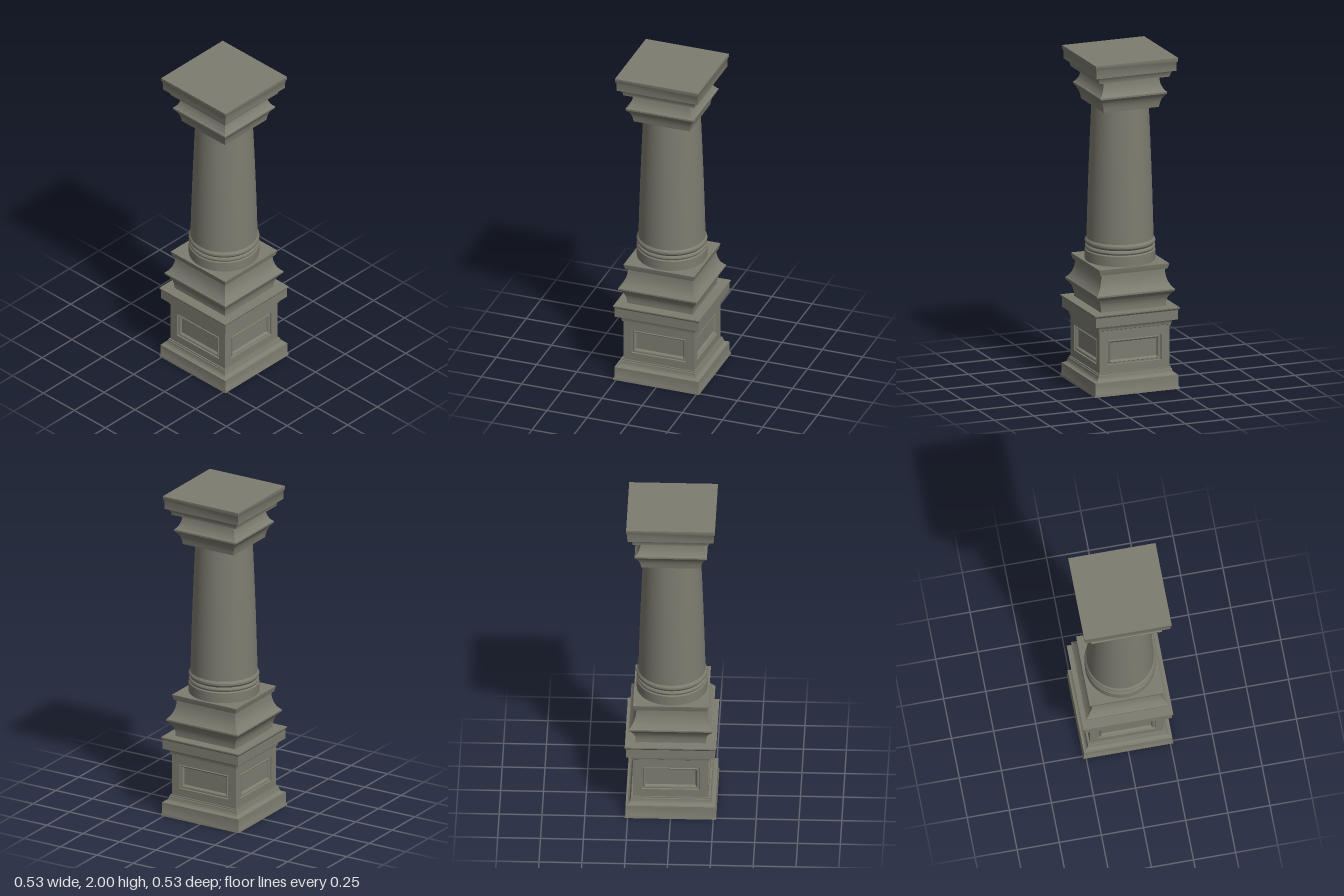
import * as THREE from 'three';
import { toCreasedNormals } from 'three/addons/utils/BufferGeometryUtils.js';

const material = new THREE.MeshStandardMaterial({ color: 0x7c7c70 });

// Points of a curved moulding from a to b, bowed towards the control point c
function cove(a, c, b, n = 8) {
  const v = (p) => new THREE.Vector2(p[0], p[1]);
  return new THREE.QuadraticBezierCurve(v(a), v(c), v(b)).getPoints(n).map((p) => [p.x, p.y]);
}

function addMesh(group, name, geometry, crease = 0.6) {
  const mesh = new THREE.Mesh(toCreasedNormals(geometry, crease), material);
  mesh.name = name;
  group.add(mesh);
  return mesh;
}

// Square moulding: [half width, y] profile swept round four sides
function squareProfile(points) {
  const pts = points.map(([w, y]) => new THREE.Vector2(w * Math.SQRT2, y));
  return new THREE.LatheGeometry(pts, 4, Math.PI / 4);
}

function roundProfile(points) {
  return new THREE.LatheGeometry(points.map(([r, y]) => new THREE.Vector2(r, y)), 64);
}

// Wall with a sunk panel: nested rectangles [half width, bottom, top, z]
function panelGeometry(rects) {
  const positions = [];
  const index = [];
  rects.forEach(([w, y0, y1, z]) => positions.push(-w, y0, z, w, y0, z, w, y1, z, -w, y1, z));
  for (let r = 0; r < rects.length - 1; r++) {
    for (let i = 0; i < 4; i++) {
      const a = r * 4 + i;
      const b = r * 4 + (i + 1) % 4;
      index.push(a, b, b + 4, a, b + 4, a + 4);
    }
  }
  const k = (rects.length - 1) * 4;
  index.push(k, k + 1, k + 2, k, k + 2, k + 3);
  const g = new THREE.BufferGeometry();
  g.setAttribute('position', new THREE.Float32BufferAttribute(positions, 3));
  g.setIndex(index);
  g.computeVertexNormals();
  return g;
}

export function createModel() {
  const model = new THREE.Group();
  model.name = 'column';

  // Plinth with a small moulding on top
  addMesh(model, 'plinth', squareProfile([
    [0, 0], [0.267, 0], [0.267, 0.01], [0.262, 0.02], [0.262, 0.083], [0.25, 0.085],
    ...cove([0.248, 0.087], [0.235, 0.092], [0.232, 0.118]),
    [0.228, 0.12], [0.228, 0.127], [0.22, 0.127],
  ]));

  // Four pedestal walls, each with a framed, sunk panel
  const pedestal = new THREE.Group();
  pedestal.name = 'pedestal';
  model.add(pedestal);
  const wall = panelGeometry([
    [0.22, 0.127, 0.378, 0.22],
    [0.17, 0.175, 0.33, 0.22],
    [0.168, 0.177, 0.328, 0.21],
    [0.16, 0.185, 0.32, 0.21],
    [0.157, 0.188, 0.317, 0.216],
    [0.152, 0.193, 0.312, 0.214],
    [0.145, 0.2, 0.305, 0.202],
  ]);
  for (let i = 0; i < 4; i++) {
    addMesh(pedestal, 'panelledWall', wall, 0.3).rotation.y = i * Math.PI / 2;
  }

  // Cornice of the pedestal
  addMesh(model, 'pedestalCornice', squareProfile([
    [0.22, 0.378], [0.226, 0.378], [0.226, 0.385],
    ...cove([0.228, 0.387], [0.231, 0.41], [0.242, 0.415]),
    [0.26, 0.418], [0.26, 0.475], [0.267, 0.485], [0.267, 0.492], [0, 0.492],
  ]));

  // Flared square block under the shaft
  addMesh(model, 'baseBlock', squareProfile([
    [0.205, 0.492],
    ...cove([0.205, 0.505], [0.206, 0.555], [0.24, 0.585]),
    [0.245, 0.592], [0.245, 0.602], [0.238, 0.607],
    ...cove([0.236, 0.61], [0.203, 0.645], [0.2, 0.715]),
    [0.212, 0.718], [0.218, 0.74], [0.22, 0.752], [0, 0.752],
  ]));

  // Round foot with rolled rings
  const ring = (r, y, h, out) => cove([r, y], [r + out * 2, y + h / 2], [r, y + h], 8);
  addMesh(model, 'shaftFoot', roundProfile([
    [0.206, 0.752], [0.206, 0.812], [0.2, 0.818],
    ...ring(0.2, 0.82, 0.022, 0.006),
    [0.196, 0.845],
    ...ring(0.198, 0.848, 0.032, 0.009),
    [0.194, 0.885],
  ]));

  // Tapered shaft
  addMesh(model, 'shaft', roundProfile(
    cove([0.196, 0.88], [0.188, 1.25], [0.167, 1.7], 12)));

  // Square capital
  addMesh(model, 'capital', squareProfile([
    [0, 1.69], [0.174, 1.69],
    ...cove([0.175, 1.695], [0.18, 1.745], [0.206, 1.77]),
    [0.211, 1.777], [0.211, 1.787], [0.205, 1.791],
    ...cove([0.203, 1.793], [0.177, 1.82], [0.174, 1.88]),
    [0.222, 1.88],
    ...cove([0.222, 1.884], [0.226, 1.905], [0.236, 1.918]),
    [0.252, 1.92], [0.253, 1.97], [0.259, 1.98], [0.259, 2], [0, 2],
  ]));

  return model;
}
